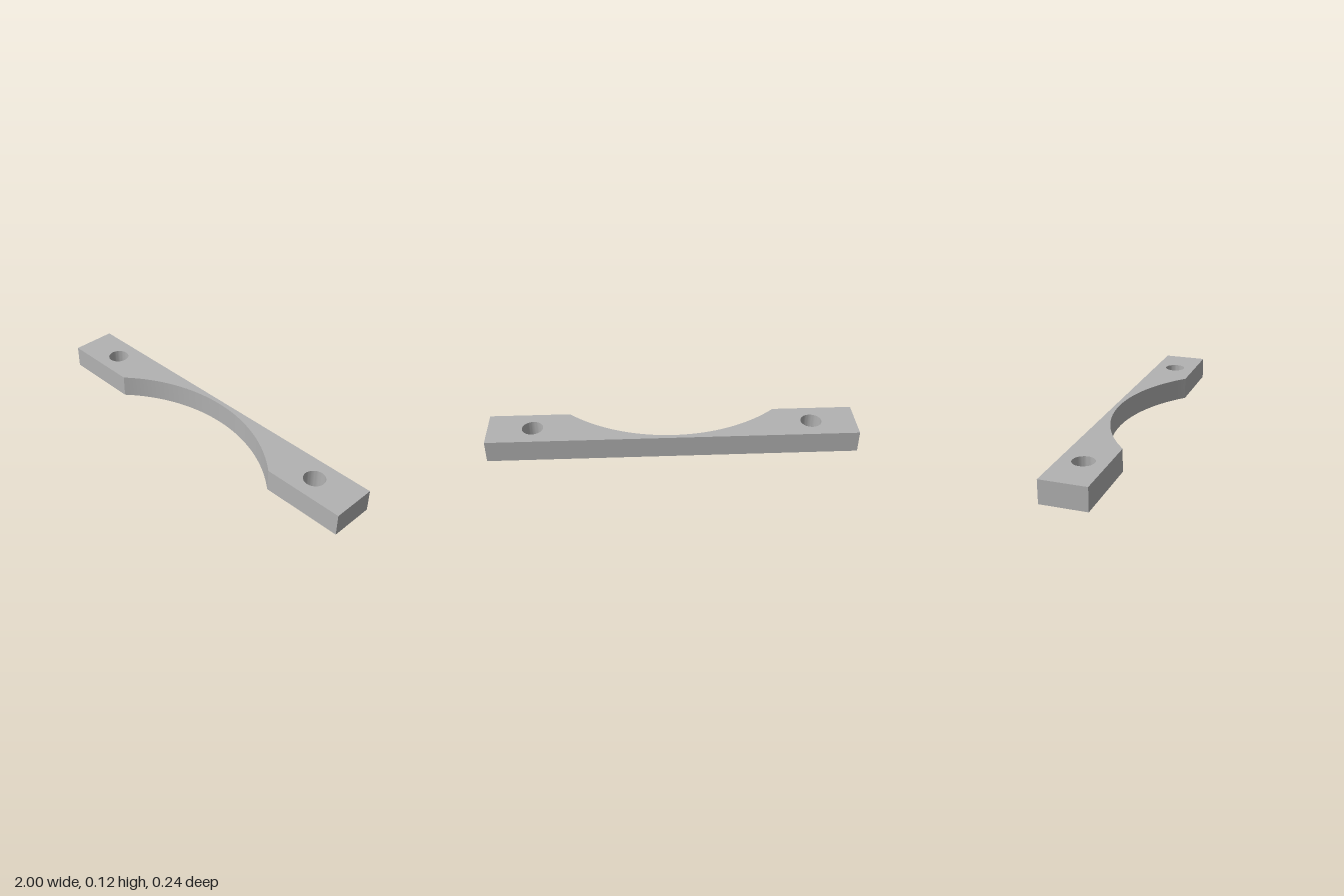
import * as THREE from 'three';
import { toCreasedNormals } from 'three/addons/utils/BufferGeometryUtils.js';

const HEIGHT = 0.122;
const HALF_DEPTH = 0.121;
const CUT_HALF_WIDTH = 0.562; // where the arc meets the front edge
const CUT_APEX = -0.096; // deepest point of the arc in z
const HOLE_X = 0.757;
const HOLE_RADIUS = 0.057;

export function createModel() {
  const group = new THREE.Group();
  group.name = 'mountingBracket';
  const grey = new THREE.MeshStandardMaterial({ color: 0xb2b2b2 });
  grey.name = 'grey';

  // Circle through both front corners of the cutout and its apex
  const sagitta = HALF_DEPTH - CUT_APEX;
  const radius = (CUT_HALF_WIDTH ** 2 + sagitta ** 2) / (2 * sagitta);
  const centre = CUT_APEX + radius;
  const angle = Math.atan2(HALF_DEPTH - centre, CUT_HALF_WIDTH);

  // Plan outline, with shape y as model z
  const plan = new THREE.Shape();
  plan.moveTo(-1, -HALF_DEPTH);
  plan.lineTo(1, -HALF_DEPTH);
  plan.lineTo(1, HALF_DEPTH);
  plan.lineTo(CUT_HALF_WIDTH, HALF_DEPTH);
  plan.absarc(0, centre, radius, angle, -Math.PI - angle, true);
  plan.lineTo(-1, HALF_DEPTH);
  plan.closePath();

  // Screw holes at both ends
  for (const side of [-1, 1]) {
    const hole = new THREE.Path();
    hole.absarc(side * HOLE_X, 0, HOLE_RADIUS, 0, Math.PI * 2, true);
    plan.holes.push(hole);
  }

  const geometry = new THREE.ExtrudeGeometry(plan, {
    depth: HEIGHT,
    bevelEnabled: false,
    curveSegments: 24,
  });
  geometry.rotateX(Math.PI / 2).translate(0, HEIGHT, 0);

  const bar = new THREE.Mesh(toCreasedNormals(geometry, Math.PI / 6), grey);
  bar.name = 'archedBar';
  group.add(bar);
  return group;
}
